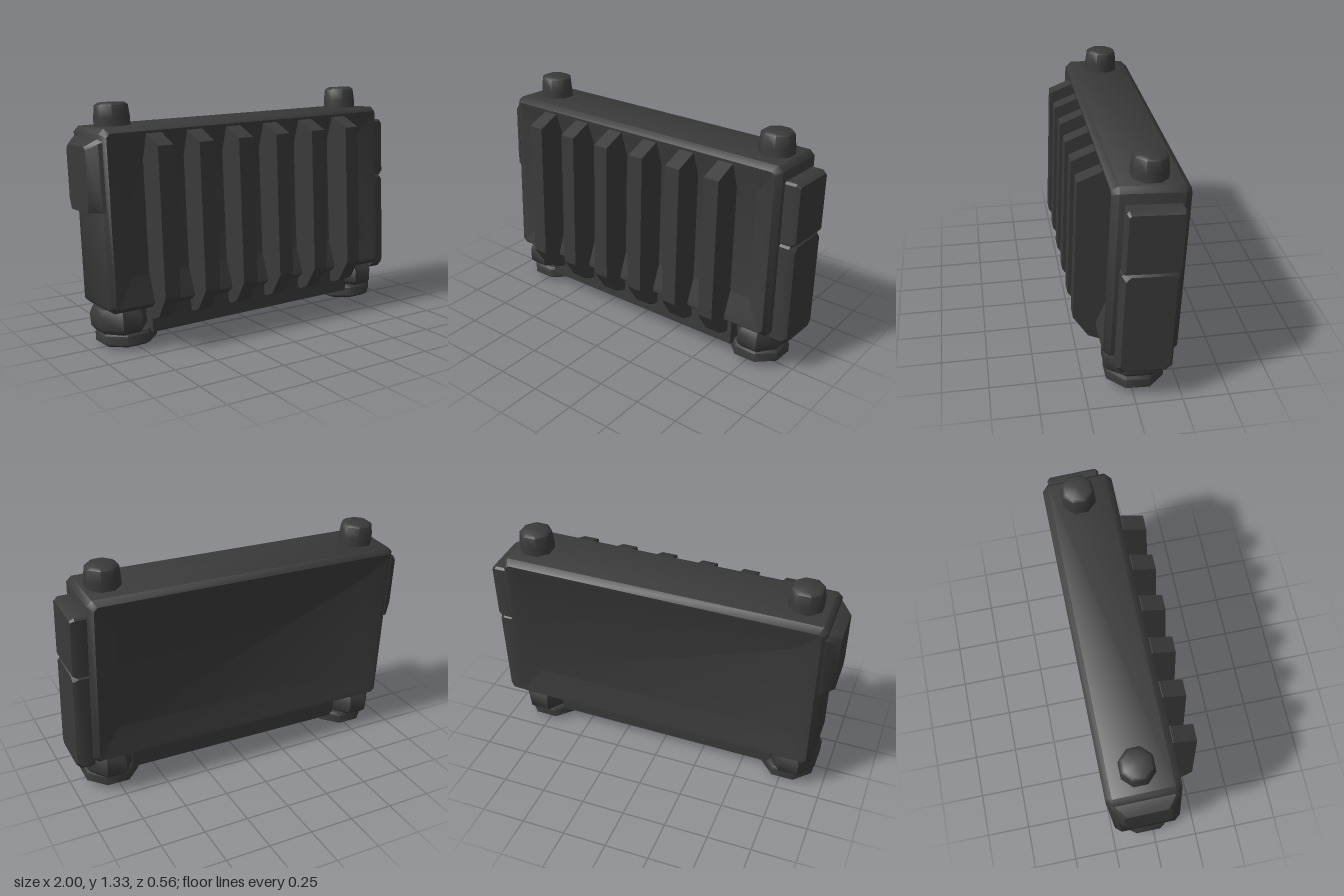
import * as THREE from 'three';
import { toCreasedNormals } from 'three/addons/utils/BufferGeometryUtils.js';

// Loft through chamfered rectangles [halfWidth, halfHeight, z, cornerChamfer], closed at both ends
function loft(rings) {
  const pos = [], idx = [], n = 8;
  for (const [w, h, z, c] of rings) {
    const pts = [[w, -h + c], [w, h - c], [w - c, h], [-w + c, h],
      [-w, h - c], [-w, -h + c], [-w + c, -h], [w - c, -h]];
    for (const [x, y] of pts) pos.push(x, y, z);
  }
  for (let i = 0; i < rings.length - 1; i++) {
    for (let j = 0; j < n; j++) {
      const a = i * n + j, b = i * n + (j + 1) % n;
      idx.push(a, b, b + n, a, b + n, a + n);
    }
  }
  const last = (rings.length - 1) * n;
  for (let j = 1; j < n - 1; j++) {
    idx.push(0, j + 1, j);
    idx.push(last, last + j, last + j + 1);
  }
  const g = new THREE.BufferGeometry();
  g.setAttribute('position', new THREE.Float32BufferAttribute(pos, 3));
  g.setIndex(idx);
  return g;
}

// Eight-sided turned part with flats facing the axes
function turned(points) {
  const g = new THREE.LatheGeometry(points.map(([r, y]) => new THREE.Vector2(r, y)), 8);
  return g.rotateY(Math.PI / 8);
}

export function createModel() {
  const model = new THREE.Group();
  model.name = 'radiator';
  const darkMetal = new THREE.MeshStandardMaterial({ color: 0x3a3a3a });
  darkMetal.name = 'dark metal';

  function add(name, geometry, x = 0, y = 0, z = 0, crease = 0.6) {
    const mesh = new THREE.Mesh(toCreasedNormals(geometry, crease), darkMetal);
    mesh.name = name;
    mesh.position.set(x, y, z);
    model.add(mesh);
    return mesh;
  }

  // Frame with recessed panels on front and back
  add('frame', loft([
    [0.77, 0.31, -0.17, 0.002],
    [0.865, 0.435, -0.218, 0.012],
    [0.893, 0.463, -0.222, 0.02],
    [0.92, 0.49, -0.187, 0.028],
    [0.92, 0.49, 0.135, 0.028],
    [0.893, 0.463, 0.17, 0.02],
    [0.865, 0.435, 0.166, 0.012],
    [0.77, 0.31, 0.12, 0.002],
  ]), -0.008, 0.715, 0, 0.9);

  // Upright fins across the front
  const finShape = new THREE.Shape([
    [0.11, 1.165], [0.11, 0.16], [0.153, 0.16], [0.209, 0.183],
    [0.295, 0.305], [0.299, 1.108], [0.176, 1.165],
  ].map(([z, y]) => new THREE.Vector2(-z, y)));
  for (let i = 0; i < 6; i++) {
    const fin = new THREE.ExtrudeGeometry(finShape, { depth: 0.09, bevelEnabled: false });
    fin.translate(0, 0, -0.045).rotateY(Math.PI / 2);
    add('fin', fin, -0.632 + i * 0.2455, 0, 0, 0.3);
  }

  // Full-height cover on the left side, in two steps
  const lowerCover = loft([
    [0.147, 0.305, 0, 0.03], [0.147, 0.305, 0.07, 0.03], [0.13, 0.28, 0.097, 0.025],
  ]).rotateY(Math.PI / 2);
  add('lowerSideCover', lowerCover, 0.9, 0.487, -0.034);
  const upperCover = loft([
    [0.147, 0.175, 0, 0.012], [0.147, 0.175, 0.075, 0.012], [0.137, 0.16, 0.098, 0.01],
  ]).rotateY(Math.PI / 2);
  add('upperSideCover', upperCover, 0.9, 0.945, -0.038);

  // Short cover on the right side
  const shortCover = loft([
    [0.18, 0.195, 0, 0.02], [0.172, 0.19, 0.02, 0.02], [0.125, 0.155, 0.073, 0.02],
  ]);
  // Keep the lower edge square while the top and ends slope
  const p = shortCover.attributes.position;
  for (let i = 0; i < p.count; i++) if (p.getY(i) < 0) p.setY(i, p.getY(i) < -0.14 ? -0.19 : p.getY(i));
  add('shortSideCover', shortCover.rotateY(-Math.PI / 2), -0.918, 0.96, -0.025);

  // Lower cross bar between the feet
  add('lowerBar', new THREE.BoxGeometry(1.34, 0.17, 0.25), -0.005, 0.165, 0);

  for (const side of [-1, 1]) {
    // Pipe stub on top
    add('pipeStub', turned([[0, 1.18], [0.098, 1.18], [0.097, 1.25], [0.089, 1.315], [0.07, 1.327], [0, 1.327]]),
      side * 0.772, 0, -0.033, 0.9);

    // Collar under the frame
    const collar = turned([[0, 0.095], [0.92, 0.095], [1.06, 0.12], [1.08, 0.19], [0.95, 0.23], [0, 0.23]]);
    add('collar', collar.scale(0.137, 1, 0.182), side * 0.795 - 0.008, 0, -0.03, 0.8);

    // Foot ring with hollow underside
    add('foot', turned([[0, 0.08], [0.065, 0.08], [0.095, 0.02], [0.14, 0.02],
      [0.167, 0.036], [0.167, 0.085], [0.155, 0.102], [0, 0.102]]),
      side * 0.768, 0, -0.02, 0.8);
  }

  // Slight lean back and sideways
  model.rotation.set(-0.048, 0, 0.012);
  const root = new THREE.Group();
  root.name = 'leaningRadiator';
  root.add(model);
  return root;
}
